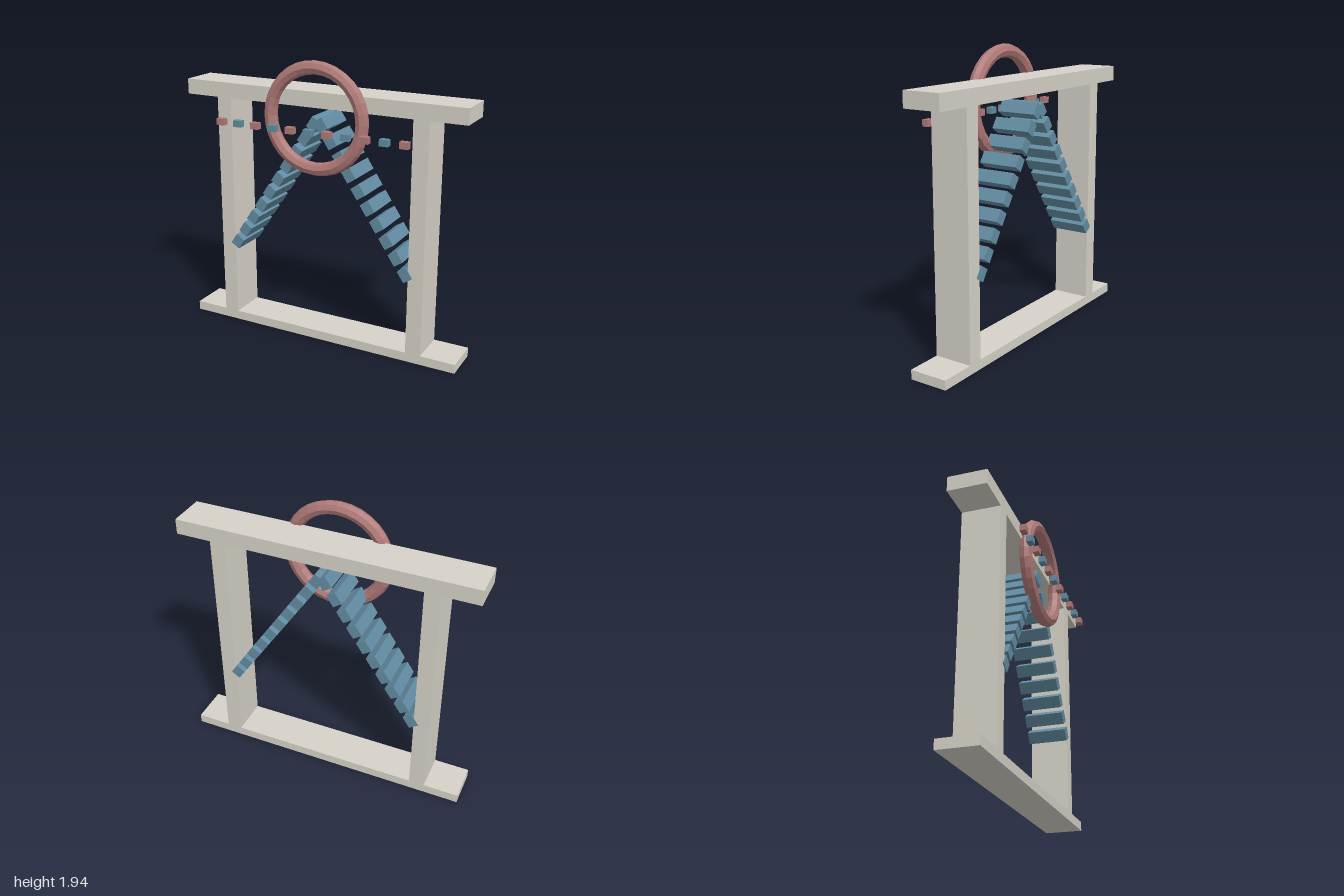
import * as THREE from 'three';

const mat = (color, flatShading = false) => new THREE.MeshStandardMaterial({ color, flatShading });

export function createModel() {
  const model = new THREE.Group();
  model.name = 'gateway';
  const stone = mat(0xd6d2c8), red = mat(0xb07a78), blue = mat(0x628ca2);
  const ringRed = mat(0xb07a78, true);

  const add = (parent, name, geometry, material, x, y, z) => {
    const mesh = new THREE.Mesh(geometry, material);
    mesh.name = name;
    mesh.position.set(x, y, z);
    parent.add(mesh);
    return mesh;
  };

  // Frame: base, two posts and a lintel as one extruded outline with an opening
  const half = [[1, 0], [1, 0.063], [0.76, 0.063], [0.76, 1.63], [1, 1.63], [1, 1.733]];
  const outline = [...half, ...half.map(([x, y]) => [-x, y]).reverse()];
  const shape = new THREE.Shape(outline.map(([x, y]) => new THREE.Vector2(x, y)));
  const opening = [[-0.655, 0.063], [-0.655, 1.63], [0.655, 1.63], [0.655, 0.063]];
  shape.holes.push(new THREE.Path(opening.map(([x, y]) => new THREE.Vector2(x, y))));
  const frameGeometry = new THREE.ExtrudeGeometry(shape, { depth: 0.26, bevelEnabled: false });
  add(model, 'frame', frameGeometry, stone, 0, 0, -0.195);

  // Ring on the front of the lintel
  add(model, 'ring', new THREE.TorusGeometry(0.328, 0.045, 8, 32), ringRed, 0, 1.563, 0.085);

  // Two mirrored sloping rows of slats meeting under the lintel
  const slatGeometry = new THREE.BoxGeometry(0.083, 0.07, 0.272);
  const low = new THREE.Vector2(0.634, 0.612), high = new THREE.Vector2(0.026, 1.522);
  const slope = Math.atan2(high.y - low.y, low.x - high.x);
  for (const side of [1, -1]) {
    const row = new THREE.Group();
    row.name = side > 0 ? 'leftSlats' : 'rightSlats';
    for (let i = 0; i < 10; i++) {
      const p = low.clone().lerp(high, i / 9);
      add(row, 'slat', slatGeometry, blue, side * p.x, p.y, -0.065).rotation.z = -side * slope;
    }
    model.add(row);
  }

  // Row of small blocks in alternating colours, in front of the ring
  const blocks = new THREE.Group();
  blocks.name = 'blocks';
  const blockGeometry = new THREE.BoxGeometry(0.058, 0.043, 0.041);
  for (let i = 0; i < 11; i++) {
    add(blocks, 'block', blockGeometry, i % 2 ? blue : red, (i - 5) * 0.1305, 1.497, 0.18);
  }
  model.add(blocks);

  return model;
}
